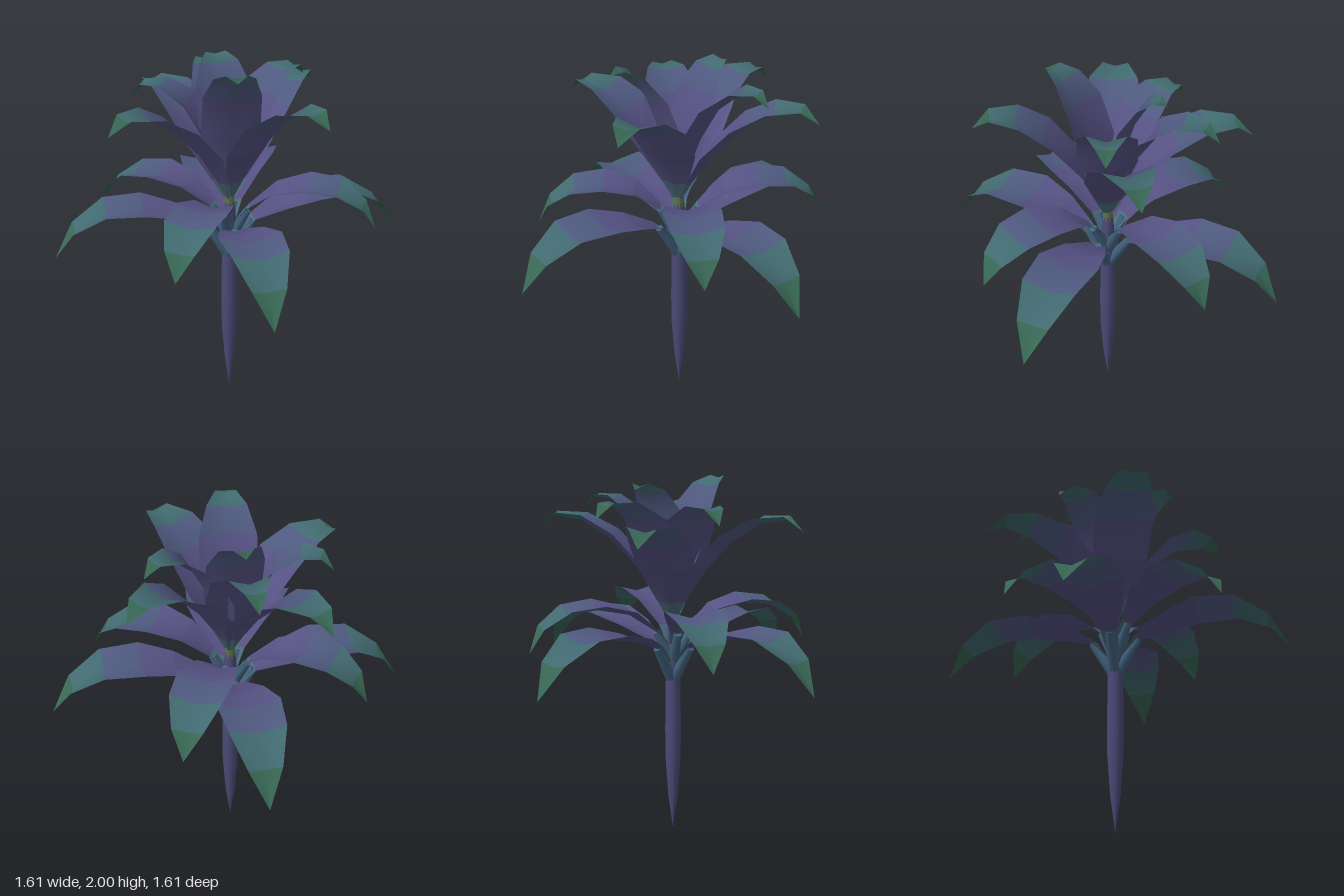
import * as THREE from 'three';

// leaf colours from base to tip
const RAMP = [0x4a6a78, 0x544f80, 0x565284, 0x4f5a80, 0x416a70, 0x376653, 0x2c5a3c].map(c => new THREE.Color(c));
const mat = color => new THREE.MeshStandardMaterial({ color, side: THREE.DoubleSide });
const bands = RAMP.map(mat);
const stemMat = mat(0x4b4b78), stalkMat = mat(0x41607c), budMat = mat(0x5f7048);

// profiles: [distance from axis, height, half width]
const LOW = [[0.05, 0.99, 0.03], [0.14, 1.085, 0.05], [0.3, 1.14, 0.12], [0.48, 1.18, 0.165],
  [0.68, 1.185, 0.145], [0.85, 1.1, 0.085], [0.97, 0.95, 0]];
const MID = [[0.04, 1.09, 0.03], [0.11, 1.17, 0.045], [0.25, 1.265, 0.11], [0.42, 1.3, 0.15],
  [0.58, 1.285, 0.135], [0.71, 1.21, 0.08], [0.79, 1.09, 0]];
const UPPER = [[0.02, 1.23, 0.03], [0.07, 1.33, 0.075], [0.18, 1.51, 0.155], [0.32, 1.67, 0.165],
  [0.46, 1.765, 0.13], [0.59, 1.79, 0.07], [0.68, 1.73, 0]];
const INNER = [[0.02, 1.26, 0.03], [0.05, 1.37, 0.08], [0.13, 1.57, 0.155], [0.24, 1.75, 0.15],
  [0.36, 1.84, 0.1], [0.46, 1.845, 0.055], [0.53, 1.78, 0]];
const TALL = [[0.02, 1.26, 0.03], [0.04, 1.38, 0.08], [0.1, 1.61, 0.155], [0.18, 1.82, 0.15],
  [0.26, 1.94, 0.105], [0.33, 1.985, 0.055], [0.38, 1.975, 0]];

// a folded blade, three columns wide, lofted along a profile
function leafGeometry(profile, reach, lift) {
  const pos = [], index = [], geo = new THREE.BufferGeometry();
  const n = profile.length;
  profile.forEach(([r, y, w], i) => {
    const a = profile[Math.max(i - 1, 0)], b = profile[Math.min(i + 1, n - 1)];
    const dx = b[0] - a[0], dy = b[1] - a[1], len = Math.hypot(dx, dy);
    for (const s of [-1, 0, 1]) {
      const fold = Math.abs(s) * w * 0.28;
      pos.push((r - dy / len * fold) * reach, y + dx / len * fold + lift * i / (n - 1), s * w);
    }
  });
  for (let i = 0; i < n - 1; i++) {
    for (let j = 0; j < 2; j++) {
      const a = i * 3 + j, b = a + 3;
      index.push(a, a + 1, b, a + 1, b + 1, b);
    }
    geo.addGroup(i * 12, 12, i);
  }
  geo.setAttribute('position', new THREE.Float32BufferAttribute(pos, 3));
  geo.setIndex(index);
  geo.computeVertexNormals();
  return geo;
}

// tapered stalk between two [radius, height] points
function stalk(from, to) {
  const a = new THREE.Vector3(from[0], from[1], 0), b = new THREE.Vector3(to[0], to[1], 0);
  const mesh = new THREE.Mesh(new THREE.CylinderGeometry(0.022, 0.034, a.distanceTo(b), 7), stalkMat);
  mesh.position.copy(a).add(b).multiplyScalar(0.5);
  mesh.quaternion.setFromUnitVectors(new THREE.Vector3(0, 1, 0), b.sub(a).normalize());
  mesh.name = 'leafStalk';
  return mesh;
}

export function createModel() {
  const plant = new THREE.Group();
  plant.name = 'plant';

  // pointed stem, swelling in the middle
  const stem = new THREE.Mesh(new THREE.LatheGeometry([[0, 0], [0.028, 0.2], [0.044, 0.42], [0.046, 0.6],
    [0.042, 0.9], [0.042, 1.0], [0.035, 1.12], [0.028, 1.2]].map(p => new THREE.Vector2(...p)), 10), stemMat);
  stem.name = 'stem';
  plant.add(stem);

  // green heart of the plant
  const heart = new THREE.Mesh(new THREE.CylinderGeometry(0.014, 0.03, 0.2, 8), budMat);
  heart.position.y = 1.28;
  heart.name = 'heart';
  plant.add(heart);

  // tiers of leaves: [angle in degrees, tip reach, tip lift]
  const tiers = [
    ['lowerLeaf', LOW, [[35.5, 1.01, 0.01], [124, 1.01, 0], [212, 0.985, 0], [303.5, 0.99, 0]]],
    ['middleLeaf', MID, [[8, 1.01, 0.03], [96.5, 1.02, 0], [180, 0.985, 0], [271, 0.975, 0]]],
    ['upperLeaf', UPPER, [[-25, 1, 0.05], [72, 1.08, 0], [153, 1.1, -0.05], [236, 1.05, -0.01]]],
    ['innerLeaf', INNER, [[59, 0.96, 0.05], [126, 1.12, 0.02], [191, 1, -0.01]]],
    ['tallLeaf', TALL, [[-63, 1, 0], [127, 0.82, -0.04]]],
  ];
  for (const [name, profile, list] of tiers) {
    for (const [angle, reach, lift] of list) {
      const leaf = new THREE.Group();
      leaf.name = name;
      const blade = new THREE.Mesh(leafGeometry(profile, reach, lift), bands);
      blade.name = 'blade';
      leaf.add(blade);
      if (profile === LOW) leaf.add(stalk([0.015, 0.9], [0.13, 1.08]));
      if (profile === MID) leaf.add(stalk([0.01, 1.0], [0.1, 1.16]));
      leaf.rotation.y = THREE.MathUtils.degToRad(angle);
      plant.add(leaf);
    }
  }
  return plant;
}
